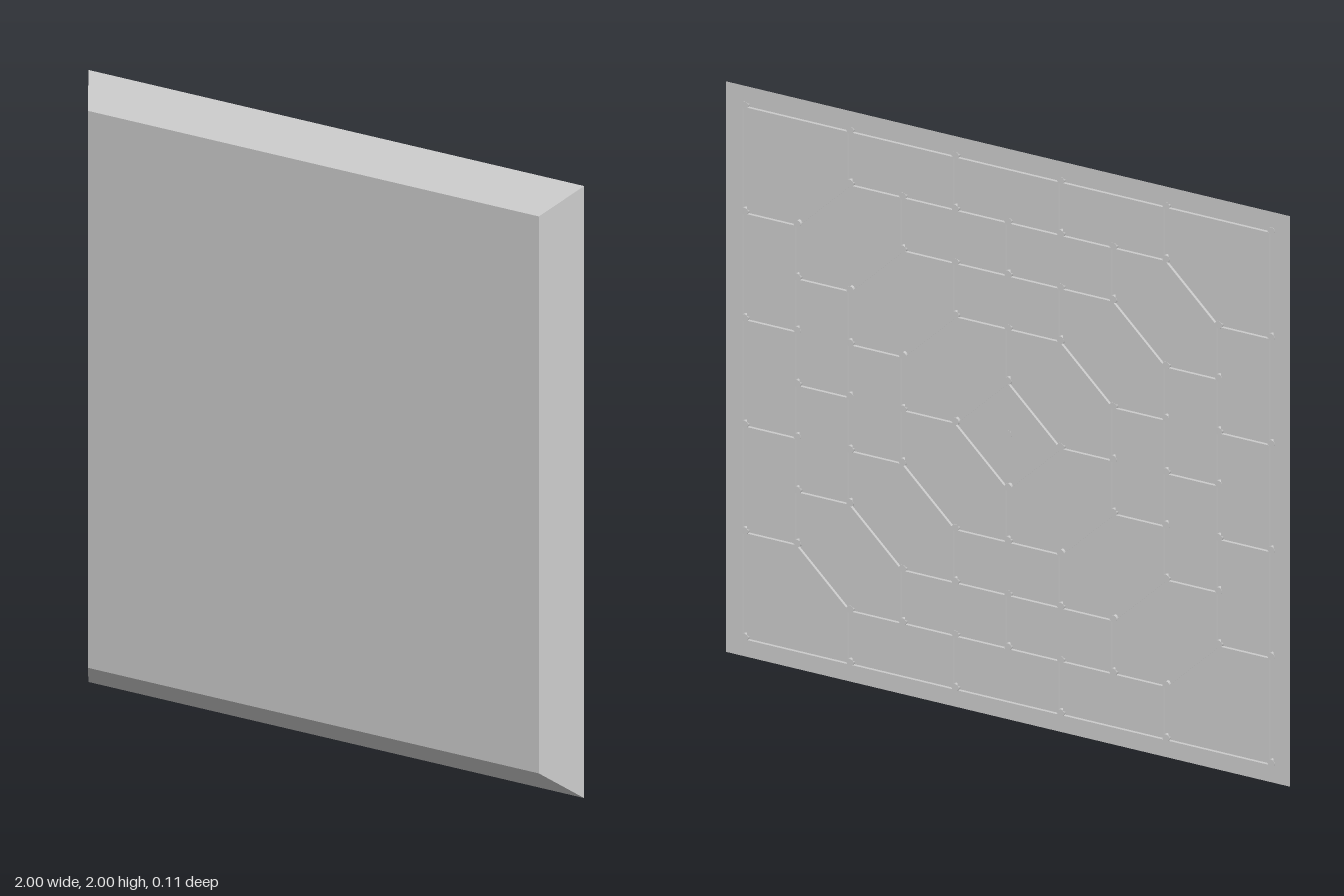
import * as THREE from 'three';

const BACK = -0.057, FRONT = 0.057;   // slab faces
const RIM = 1, FACE = 0.91;           // half width at back and front
const STEP = 0.1866;                  // pattern grid unit
const DEPTH = 0.01, HALF = 0.008;     // groove depth and half width

const grey = new THREE.MeshStandardMaterial({ color: 0xcccccc });

// Half width of the tapering slab at depth z
const halfAt = (z) => THREE.MathUtils.mapLinear(z, BACK, FRONT, RIM, FACE);

// Scale the outer side vertices to follow the taper
function taper(geometry) {
  const geo = geometry.index ? geometry.toNonIndexed() : geometry;
  const p = geo.attributes.position;
  for (let i = 0; i < p.count; i++) {
    if (Math.abs(p.getX(i)) < 0.99) continue;
    const s = halfAt(p.getZ(i));
    p.setXY(i, p.getX(i) * s, p.getY(i) * s);
  }
  geo.computeVertexNormals();
  return geo;
}

// Shrink a counter-clockwise convex polygon by a fixed distance
function inset(points, d) {
  const n = points.length;
  const normal = (a, b) => new THREE.Vector2(a.y - b.y, b.x - a.x).normalize();
  return points.map((p, i) => {
    const n1 = normal(points[(i + n - 1) % n], p);
    const n2 = normal(p, points[(i + 1) % n]);
    const k = d / (1 + n1.dot(n2));
    return p.clone().add(n1.add(n2).multiplyScalar(k));
  });
}

const slab = (shape) =>
  new THREE.ExtrudeGeometry(shape, { depth: DEPTH, bevelEnabled: false }).translate(0, 0, BACK);

const square = (h) => [[-h, -h], [h, -h], [h, h], [-h, h]].map(([x, y]) => new THREE.Vector2(x, y));

export function createModel() {
  const model = new THREE.Group();
  const tile = new THREE.Group();
  tile.name = 'tile';
  tile.position.y = 1;
  model.add(tile);

  const add = (geo, name, parent = tile) => {
    const mesh = new THREE.Mesh(geo, grey);
    mesh.name = name;
    parent.add(mesh);
    return mesh;
  };

  // Bevelled body, its back face forming the groove floor
  const thick = FRONT - BACK - DEPTH;
  add(taper(new THREE.BoxGeometry(2, 2, thick).translate(0, 0, FRONT - thick / 2)), 'bevelledBody');

  // Rim around the back pattern
  const rim = new THREE.Shape(square(1));
  rim.holes.push(new THREE.Path(square(5 * STEP + HALF).reverse()));
  add(taper(slab(rim)), 'backRim');

  const panels = new THREE.Group();
  panels.name = 'backPanels';
  const studs = new THREE.Group();
  studs.name = 'backStuds';
  tile.add(panels, studs);

  const panel = (coords, name, turn) => {
    const points = coords.map(([x, y]) => new THREE.Vector2(x * STEP, y * STEP));
    const mesh = add(slab(new THREE.Shape(inset(points, HALF))), name, panels);
    mesh.rotation.z = turn;
  };

  const studGeo = new THREE.CylinderGeometry(0.013, 0.013, DEPTH + 0.001, 10).rotateX(Math.PI / 2);
  const stud = (x, y, turn) => {
    const mesh = add(studGeo, 'stud', studs);
    mesh.position.set(x * STEP, y * STEP, BACK + DEPTH / 2 - 0.0005);
    mesh.position.applyAxisAngle(new THREE.Vector3(0, 0, 1), turn);
  };

  // Concentric rings of panels, repeated for the four sides
  for (let q = 0; q < 4; q++) {
    const turn = q * Math.PI / 2;
    for (let r = 1; r <= 4; r++) {
      for (let x = 1 - r; x <= r - 1; x += 2) {
        stud(x, r, turn);
        stud(x, r + 1, turn);
        if (x < r - 1) panel([[x, r], [x + 2, r], [x + 2, r + 1], [x, r + 1]], 'sidePanel', turn);
      }
      const corner = r === 4 ? [[5, 5]] : [[r + 1, r], [r, r + 1]];
      panel([[r - 1, r], [r, r - 1], [r + 1, r - 1], ...corner, [r - 1, r + 1]], 'cornerPanel', turn);
    }
    stud(5, 5, turn);
  }

  // Central diamond
  panel([[1, 0], [0, 1], [-1, 0], [0, -1]], 'centrePanel', 0);
  stud(0, 0, 0);

  return model;
}
